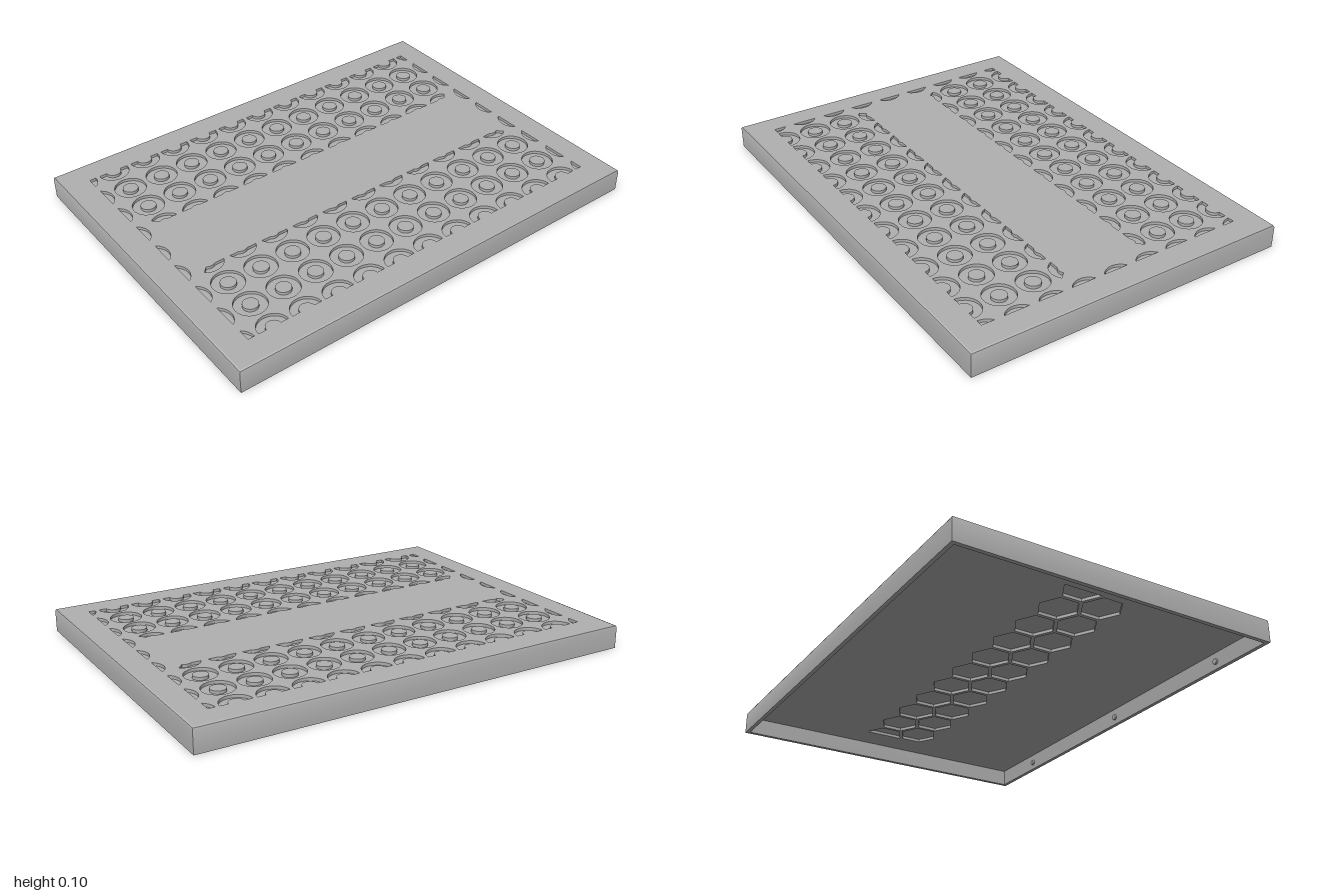
import * as THREE from 'three';
import { toCreasedNormals } from 'three/addons/utils/BufferGeometryUtils.js';

const HX = 0.735, HZ = 1;          // half width and half length
const PITCH = 0.154, R = 0.068, r = 0.033; // ring grid and radii
const TOP = 0.105, GROOVE = 0.092, SHEET = 0.088, UNDER = 0.075;

const grey = new THREE.MeshStandardMaterial({ color: 0xb0b0b0 });
grey.name = 'grey';

function rectangle(inset) {
  const x = HX - inset, z = HZ - inset;
  return new THREE.Shape([[-x, -z], [x, -z], [x, z], [-x, z]].map(p => new THREE.Vector2(...p)));
}

// Flat layer lying between two heights
function layer(shape, y0, y1) {
  const g = new THREE.ExtrudeGeometry(shape, { depth: y1 - y0, bevelEnabled: false, curveSegments: 32 });
  g.rotateX(-Math.PI / 2);
  g.translate(0, y0, 0);
  return toCreasedNormals(g, 0.6);
}

// Ring cut by a straight line at distance d from its centre, kept towards 'dir'
function cutRing(cx, cy, dir, d, lo = -1, hi = 1) {
  const pts = [], a = Math.acos(d / R), n = 14;
  const add = (u, v) => pts.push(new THREE.Vector2(
    cx + u * Math.cos(dir) - v * Math.sin(dir),
    cy + u * Math.sin(dir) + v * Math.cos(dir)));
  for (let i = 0; i <= n; i++) {
    const t = a * (lo + (hi - lo) * i / n);
    add(R * Math.cos(t), R * Math.sin(t));
  }
  if (d < r) {
    const b = Math.acos(d / r);
    for (let i = 0; i <= n; i++) {
      const t = b * (1 - 2 * i / n);
      add(r * Math.cos(t), r * Math.sin(t));
    }
  } else if (lo === 0 || hi === 0) add(d, 0);
  return new THREE.Path(pts);
}

// Side walls: one profile carried round the rectangle with mitred corners
function wallGeometry() {
  const profile = [[0.018, UNDER], [0.018, 0], [0, 0], [0, 0.095], [0.003, 0.102], [0.01, TOP]];
  const corners = [[1, 1], [1, -1], [-1, -1], [-1, 1]];
  const pos = [];
  const at = (c, p) => [c[0] * (HX - p[0]), p[1], c[1] * (HZ - p[0])];
  corners.forEach((a, i) => {
    const b = corners[(i + 1) % 4];
    for (let k = 0; k < profile.length - 1; k++) {
      const p = profile[k], q = profile[k + 1];
      pos.push(...at(a, p), ...at(b, p), ...at(b, q), ...at(a, p), ...at(b, q), ...at(a, q));
    }
  });
  const g = new THREE.BufferGeometry();
  g.setAttribute('position', new THREE.Float32BufferAttribute(pos, 3));
  return toCreasedNormals(g, 0.6);
}

export function createModel() {
  const model = new THREE.Group();
  model.name = 'tray cover';
  const add = (name, geometry) => {
    const mesh = new THREE.Mesh(geometry, grey);
    mesh.name = name;
    model.add(mesh);
    return mesh;
  };

  add('sideWalls', wallGeometry());

  // Top face with ring grooves
  const face = rectangle(0.01);
  const knob = new THREE.CylinderGeometry(r, r, TOP - GROOVE, 32);
  for (const s of [-1, 1]) {
    const outward = s > 0 ? 0 : Math.PI;
    for (let j = -5; j <= 5; j++) {
      const z = j * PITCH;
      for (const k of [2, 3]) {
        const hole = new THREE.Path();
        hole.absarc(s * k * PITCH, z, R, 0, Math.PI * 2);
        face.holes.push(hole);
        add('ringCentre', knob).position.set(s * k * PITCH, (TOP + GROOVE) / 2, z);
      }
      // half rings along the outer border, crescents along the middle band
      face.holes.push(cutRing(s * 4 * PITCH, z, Math.PI - outward, 0));
      const end = j * s;
      face.holes.push(cutRing(s * PITCH, z, outward, 0.026, end === -5 ? -0.6 : -1, end === 5 ? 0.6 : 1));
    }
    // slivers along the front and back borders
    for (let k = -4; k <= 4; k++) {
      const side = k * s;
      face.holes.push(cutRing(k * PITCH, s * 6 * PITCH, -s * Math.PI / 2, 0.039,
        side === 4 ? -1 : side === -4 ? 0 : -1, side === 4 ? 0 : 1));
    }
  }
  add('groovedTop', layer(face, GROOVE, TOP));
  add('coreSheet', layer(rectangle(0.015), SHEET, GROOVE));

  // Underside with honeycomb pockets along the middle
  const under = rectangle(0.016);
  const cell = 0.17, cr = (cell - 0.016) / Math.sqrt(3), cx = cell * 0.433;
  const pocket = (x, z, from = 0, count = 6) => {
    const pts = [];
    for (let i = 0; i < count; i++) {
      const t = from + i * Math.PI / 3;
      pts.push(new THREE.Vector2(x + cr * Math.cos(t), z + cr * Math.sin(t)));
    }
    under.holes.push(new THREE.Path(pts));
  };
  for (let k = -4; k <= 4; k++) pocket(-cx, k * cell);
  for (let k = -5; k <= 4; k++) pocket(cx, (k + 0.5) * cell);
  pocket(-cx, -5 * cell, 0, 4);
  pocket(-cx, 5 * cell, Math.PI, 4);
  add('honeycombUnderside', layer(under, UNDER, SHEET));

  // Small snap studs inside the long walls
  const stud = new THREE.CylinderGeometry(0.012, 0.014, 0.01, 16);
  for (const s of [-1, 1]) for (const z of [-0.7, 0, 0.7]) {
    const m = add('snapStud', stud);
    m.position.set(s * (HX - 0.02), 0.035, z);
    m.rotation.z = s * Math.PI / 2;
  }
  return model;
}
